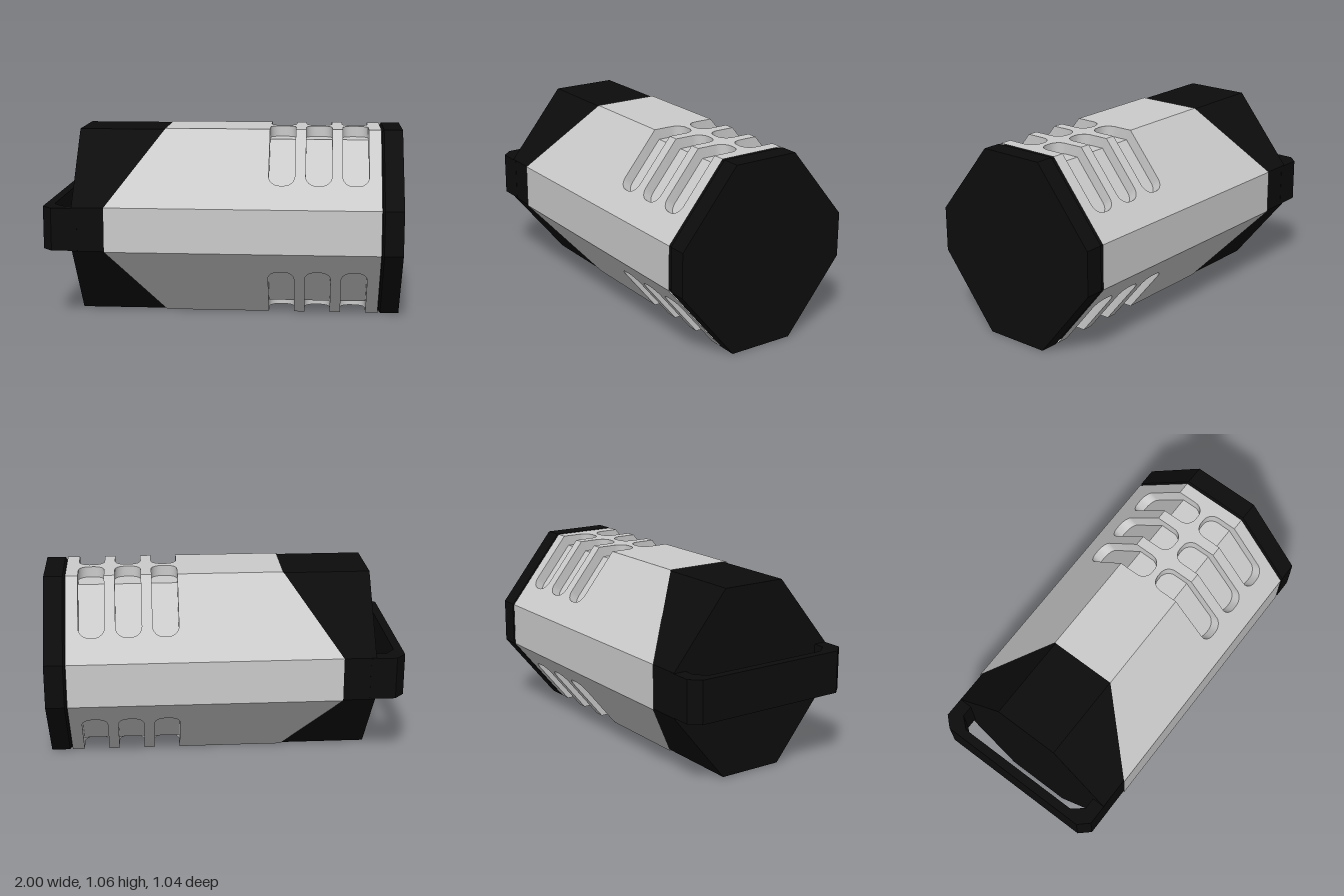
import * as THREE from 'three';
import { mergeGeometries, toCreasedNormals } from 'three/addons/utils/BufferGeometryUtils.js';

const MID = 0.53;                        // height of the long axis
const TOP = 0.19, SIDE = 0.52, FLAT = 0.125; // half top width, half depth, half side height
const SLOPE = Math.hypot(SIDE - TOP, MID - FLAT);
const DZ = (SIDE - TOP) / SLOPE, DY = (MID - FLAT) / SLOPE;
const NECK = 0.88, TIP = -0.34, SHOULDER = -0.65;

// Slots folded over the sloping edges
const SLOTS = [0.255, 0.46, 0.665], WIDTH = 0.145, RADIUS = 0.06, DEPTH = 0.06;
const SLOT_TOP = -0.17, SLOT_LOW = 0.368;
const FOLD = DEPTH * Math.tan(Math.acos(DZ) / 2);

// Octagonal cross-section as [z, y] offset inwards
function octagon(inset) {
  const k = inset * Math.tan(Math.acos(DZ) / 2), m = inset * Math.tan(Math.acos(DY) / 2);
  const t = TOP - k, h = MID - inset, w = SIDE - inset, f = FLAT - m;
  return [[t, h], [w, f], [w, -f], [t, -h], [-t, -h], [-w, -f], [-w, f], [-t, h]];
}

// Closed flat-sided loft along x through [x, inset] stations
function loft(stations) {
  const pos = [];
  const rings = stations.map(([x, i]) => octagon(i).map(([z, y]) => [x, y, z]));
  const last = rings[rings.length - 1];
  for (let r = 0; r < rings.length - 1; r++) {
    for (let i = 0; i < 8; i++) {
      const j = (i + 1) % 8;
      const a = rings[r][i], b = rings[r][j], c = rings[r + 1][j], d = rings[r + 1][i];
      pos.push(...a, ...b, ...c, ...a, ...c, ...d);
    }
  }
  for (let i = 1; i < 7; i++) {
    pos.push(...rings[0][0], ...rings[0][i + 1], ...rings[0][i]);
    pos.push(...last[0], ...last[i], ...last[i + 1]);
  }
  const g = new THREE.BufferGeometry();
  g.setAttribute('position', new THREE.Float32BufferAttribute(pos, 3));
  g.computeVertexNormals();
  return g;
}

// Unfolded surface point: s < 0 on the top face, s > 0 down the slope, d = depth below it
function fold(x, s, d, slope) {
  return slope
    ? [x, MID - DY * s - d * DZ, TOP + DZ * s - d * DY]
    : [x, MID - d, TOP + s];
}

// Flat panel from an unfolded outline
function panel(points, d, slope) {
  const shape = new THREE.Shape(points.map(([x, s]) => new THREE.Vector2(x, -s)));
  const g = new THREE.ShapeGeometry(shape).toNonIndexed();
  const p = g.attributes.position;
  for (let i = 0; i < p.count; i++) p.setXYZ(i, ...fold(p.getX(i), -p.getY(i), d, slope));
  g.deleteAttribute('uv');
  g.computeVertexNormals();
  return g;
}

// Half of a slot outline, running from one side of the fold round its rounded end
function slotHalf(x0, end, start = 0) {
  const sign = Math.sign(end), x1 = x0 + WIDTH, pts = [[x0, start]];
  for (const [cx, from] of [[x0 + RADIUS, Math.PI], [x1 - RADIUS, Math.PI / 2]]) {
    for (let i = 0; i <= 6; i++) {
      const a = from - (i / 6) * Math.PI / 2;
      pts.push([cx + RADIUS * Math.cos(a), end - sign * RADIUS + sign * RADIUS * Math.sin(a)]);
    }
  }
  pts.push([x1, start]);
  return pts;
}

// Wall joining a slot outline on the surface to its floor
function slotWall(x0, end, slope) {
  const start = slope ? FOLD : -FOLD, pos = [];
  const outer = slotHalf(x0, end).map(([x, s]) => fold(x, s, 0, slope));
  const inner = slotHalf(x0, end, start).map(([x, s]) => fold(x, s, DEPTH, slope));
  for (let i = 0; i < outer.length - 1; i++) {
    const [a, b, c, d] = [outer[i], outer[i + 1], inner[i + 1], inner[i]];
    if (slope) pos.push(...a, ...b, ...c, ...a, ...c, ...d);
    else pos.push(...a, ...c, ...b, ...a, ...d, ...c);
  }
  const g = new THREE.BufferGeometry();
  g.setAttribute('position', new THREE.Float32BufferAttribute(pos, 3));
  return toCreasedNormals(g, 0.5);
}

// One quarter of the housing: half the top, one slope, half the side
function housingQuarter() {
  const topCuts = SLOTS.flatMap(x => slotHalf(x, SLOT_TOP)).reverse();
  const slopeCuts = SLOTS.flatMap(x => slotHalf(x, SLOT_LOW));
  const side = new THREE.PlaneGeometry(NECK - SHOULDER, FLAT).toNonIndexed();
  side.translate((NECK + SHOULDER) / 2, FLAT / 2, SIDE);
  side.deleteAttribute('uv');
  const parts = [
    panel([[TIP, -TOP], [NECK, -TOP], [NECK, 0], ...topCuts, [TIP, 0]], 0, false),
    panel([[TIP, 0], ...slopeCuts, [NECK, 0], [NECK, SLOPE], [SHOULDER, SLOPE]], 0, true),
    side,
  ];
  for (const x of SLOTS) {
    parts.push(slotWall(x, SLOT_TOP, false), slotWall(x, SLOT_LOW, true));
    parts.push(panel(slotHalf(x, SLOT_TOP, -FOLD), DEPTH, false));
    parts.push(panel(slotHalf(x, SLOT_LOW, FOLD), DEPTH, true));
  }
  return mergeGeometries(parts);
}

// U-shaped bracket with clipped corners
function handleGeometry() {
  const outline = [
    [-0.8, 0.515], [-0.945, 0.515], [-1, 0.455], [-1, -0.455], [-0.945, -0.515], [-0.8, -0.515],
    [-0.8, -0.44], [-0.895, -0.44], [-0.95, -0.375], [-0.95, 0.375], [-0.895, 0.44], [-0.8, 0.44],
  ];
  const shape = new THREE.Shape(outline.map(([x, z]) => new THREE.Vector2(x, z)));
  const g = new THREE.ExtrudeGeometry(shape, { depth: 0.24, bevelEnabled: false });
  return g.rotateX(Math.PI / 2).translate(0, 0.12, 0);
}

export function createModel() {
  const model = new THREE.Group();
  model.name = 'octagonalCanister';
  const grey = new THREE.MeshStandardMaterial({ color: 0xcccccc, side: THREE.DoubleSide });
  const black = new THREE.MeshStandardMaterial({ color: 0x0c0c0c });

  const add = (name, geometry, material, parent = model) => {
    const mesh = new THREE.Mesh(geometry, material);
    mesh.name = name;
    parent.add(mesh);
    return mesh;
  };

  // Slotted grey housing, mirrored from one quarter
  const housing = new THREE.Group();
  housing.name = 'housing';
  model.add(housing);
  const quarter = housingQuarter();
  for (const y of [1, -1]) {
    for (const z of [1, -1]) {
      const name = (y > 0 ? 'upper' : 'lower') + (z > 0 ? 'Front' : 'Back') + 'Housing';
      add(name, quarter, grey, housing).scale.set(1, y, z);
    }
  }

  // Black core showing behind the angled housing edge, end cap and handle
  add('rearBlock', loft([[-0.83, 0.006], [0.2, 0.006]]), black);
  add('endCap', loft([[0.83, 0.012], [0.885, 0.012], [0.895, 0], [1, 0]]), black);
  add('handle', handleGeometry(), black);

  for (const part of model.children) part.position.y = MID;
  return model;
}
